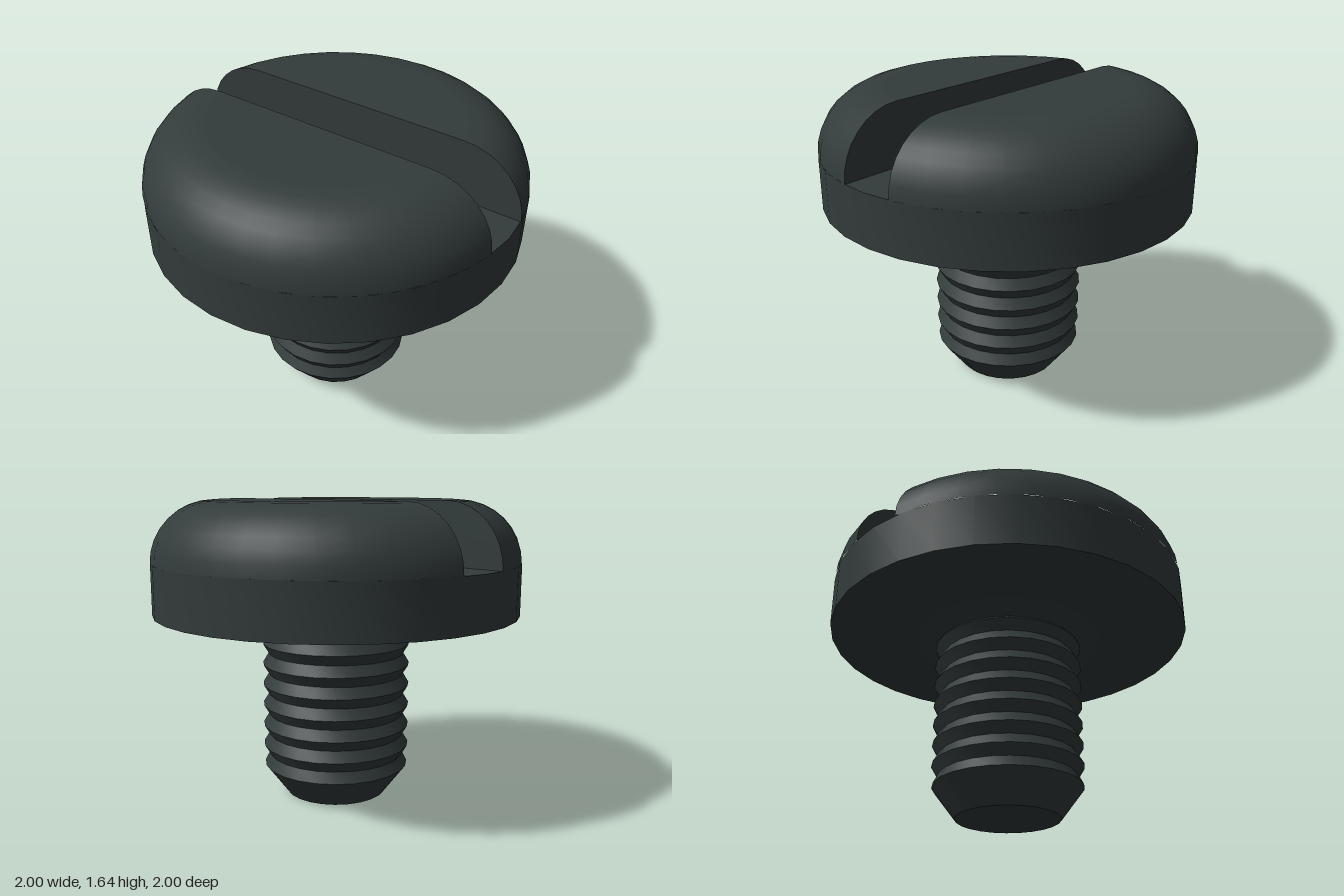
import * as THREE from 'three';
import { toCreasedNormals } from 'three/addons/utils/BufferGeometryUtils.js';

const SLOT = 0.152, FLOOR = 1.315, TOP = 1.645, UNDER = 1.035;

export function createModel() {
  const model = new THREE.Group();
  model.name = 'slottedScrew';
  const steel = new THREE.MeshStandardMaterial({ color: 0x333b3b });
  steel.name = 'dark steel';

  const add = (name, geometry, parent = model) => {
    const mesh = new THREE.Mesh(toCreasedNormals(geometry, 0.5), steel);
    mesh.name = name;
    parent.add(mesh);
    return mesh;
  };
  const lathe = (points, sides) =>
    new THREE.LatheGeometry(points.map(([r, y]) => new THREE.Vector2(r, y)), sides);

  // Shank: chamfered tip, ring-shaped threads, flared neck
  const shank = [[0, 0], [0.28, 0]];
  const crests = 8, pitch = 0.1157;
  for (let i = 0; i < crests; i++) {
    const y = 0.165 + i * pitch;
    shank.push([i ? 0.41 : 0.405, y]);
    if (i < crests - 1) shank.push([0.375, y + pitch / 2]);
  }
  shank.push([0.40, 0.987], [0.52, UNDER]);
  add('threadedShank', lathe(shank, 24));

  // Lower head: straight band whose top is the slot floor
  add('headBand', lathe([[0, UNDER], [1, UNDER], [1, FLOOR], [0, FLOOR]], 32));

  // Upper head: rounded half on one side of the slot, then its mirror by rotation
  const half = new THREE.Group();
  half.name = 'frontHeadHalf';
  const rows = [], steps = 8, sides = 16;
  for (let i = 0; i <= steps; i++) {
    const t = (i / steps) * Math.PI / 2;
    const r = 0.66 + 0.34 * Math.cos(t), y = FLOOR + (TOP - FLOOR) * Math.sin(t);
    const start = Math.asin(SLOT / r), row = [];
    for (let j = 0; j <= sides; j++) {
      const a = start + (Math.PI - 2 * start) * j / sides;
      row.push([r * Math.cos(a), y, r * Math.sin(a)]);
    }
    rows.push(row);
  }
  const positions = [], index = [];
  rows.forEach((row, i) => row.forEach((p, j) => {
    positions.push(...p);
    if (i < steps && j < sides) {
      const a = i * (sides + 1) + j, b = a + sides + 1;
      index.push(a, b, a + 1, b, b + 1, a + 1);
    }
  }));
  const dome = new THREE.BufferGeometry();
  dome.setAttribute('position', new THREE.Float32BufferAttribute(positions, 3));
  dome.setIndex(index);
  add('roundedRim', dome, half);

  // Flat top, outlined by the last row
  const topShape = new THREE.Shape(rows[steps].map(([x, , z]) => new THREE.Vector2(x, -z)));
  add('flatTop', new THREE.ShapeGeometry(topShape).rotateX(-Math.PI / 2).translate(0, TOP, 0), half);

  // Slot wall, outlined by the ends of the rows and facing the slot
  const ends = rows.map((row) => new THREE.Vector2(row[0][0], row[0][1]));
  const mirrored = ends.map((p) => new THREE.Vector2(-p.x, p.y)).reverse();
  const wall = new THREE.ShapeGeometry(new THREE.Shape([...ends, ...mirrored]));
  add('slotWall', wall.rotateY(Math.PI).translate(0, 0, SLOT), half);

  const back = half.clone();
  back.name = 'backHeadHalf';
  back.rotation.y = Math.PI;
  model.add(half, back);
  return model;
}
